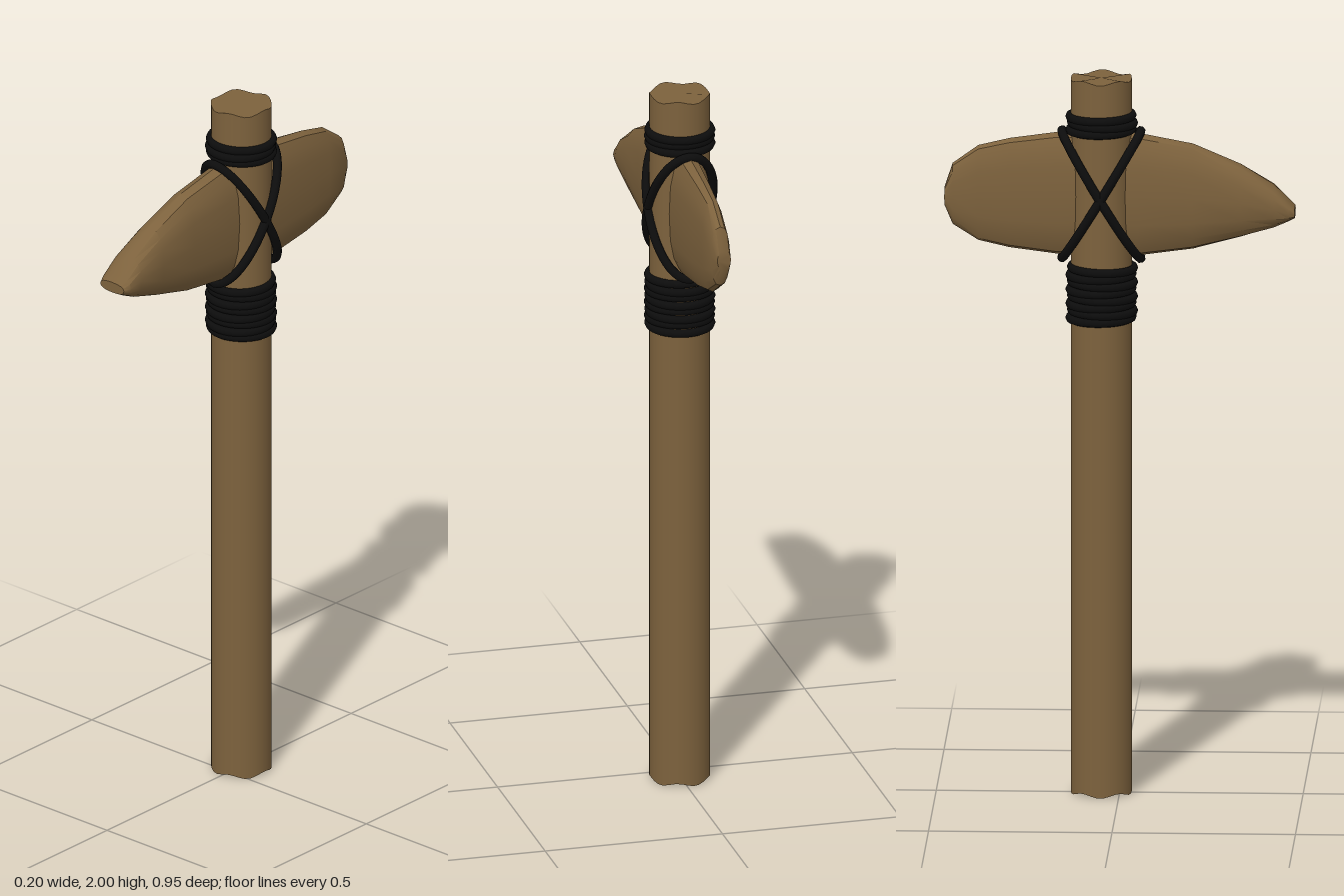
import * as THREE from 'three';
import { toCreasedNormals } from 'three/addons/utils/BufferGeometryUtils.js';

const wood = new THREE.MeshStandardMaterial({ name: 'brown wood', color: 0x7d623d });
const cord = new THREE.MeshStandardMaterial({ name: 'black cord', color: 0x0d0d0d });
const AXIS_Z = -0.05; // centre line of the handle

function add(parent, name, geometry, material) {
  const mesh = new THREE.Mesh(geometry, material);
  mesh.name = name;
  parent.add(mesh);
  return mesh;
}

// Round shaft with slightly uneven cut ends
function handleGeometry() {
  const geo = new THREE.CylinderGeometry(0.083, 0.083, 1.99, 30, 1);
  const p = geo.attributes.position;
  for (let i = 0; i < p.count; i++) {
    const x = p.getX(i), z = p.getZ(i);
    if (Math.hypot(x, z) < 0.01) continue;
    p.setY(i, p.getY(i) + 0.005 * Math.cos(5 * Math.atan2(z, x)));
  }
  return geo.translate(0, 1, AXIS_Z);
}

// Loft of rounded sections running from the thin blade to the chisel tip
function headGeometry() {
  // z, bottom y, top y, left x, right x
  const sections = [
    [-0.477, 1.64, 1.69, -0.03, 0.008],
    [-0.455, 1.585, 1.755, -0.032, 0.02],
    [-0.385, 1.54, 1.805, -0.035, 0.028],
    [-0.3, 1.52, 1.825, -0.039, 0.036],
    [-0.17, 1.503, 1.843, -0.047, 0.046],
    [0.05, 1.5, 1.842, -0.05, 0.053],
    [0.2, 1.52, 1.813, -0.046, 0.053],
    [0.33, 1.555, 1.758, -0.051, 0.056],
    [0.42, 1.583, 1.702, -0.052, 0.055],
    [0.46, 1.602, 1.66, -0.05, 0.051],
    [0.478, 1.612, 1.642, -0.044, 0.042],
  ];
  const n = 16, pos = [], index = [];
  const round = (v) => Math.sign(v) * Math.abs(v) ** 0.8;
  for (const [z, y0, y1, x0, x1] of sections) {
    for (let j = 0; j < n; j++) {
      const a = (j / n) * Math.PI * 2;
      pos.push((x0 + x1) / 2 + round(Math.cos(a)) * (x1 - x0) / 2,
        (y0 + y1) / 2 + round(Math.sin(a)) * (y1 - y0) / 2, z);
    }
  }
  const last = (sections.length - 1) * n;
  for (let i = 0; i < last; i += n) {
    for (let j = 0; j < n; j++) {
      const k = (j + 1) % n;
      index.push(i + j, i + k, i + n + k, i + j, i + n + k, i + n + j);
    }
  }
  // End caps
  for (let j = 1; j < n - 1; j++) {
    index.push(0, j + 1, j, last, last + j, last + j + 1);
  }
  const geo = new THREE.BufferGeometry();
  geo.setAttribute('position', new THREE.Float32BufferAttribute(pos, 3));
  geo.setIndex(index);
  return toCreasedNormals(geo, 0.6);
}

// Stack of cord turns around the handle
function wrap(parent, name, yLow, yHigh, turns) {
  const group = new THREE.Group();
  group.name = name;
  for (let i = 0; i < turns; i++) {
    const y = THREE.MathUtils.lerp(yLow, yHigh, i / (turns - 1));
    const turn = add(group, 'cordTurn', new THREE.TorusGeometry(0.085, 0.012, 8, 36), cord);
    turn.rotation.x = Math.PI / 2 + (i % 2 ? 0.02 : -0.02);
    turn.position.set(0, y, AXIS_Z + (i % 2 ? 0.003 : -0.001));
  }
  parent.add(group);
}

// Slanted loop that passes over the head on one side and under it on the other
function crossLoop(parent, name, side) {
  const points = [];
  for (let i = 0; i < 24; i++) {
    const a = (i / 24) * Math.PI * 2;
    points.push(new THREE.Vector3(0.09 * Math.cos(a), 1.67 + 0.178 * Math.sin(a),
      AXIS_Z + side * 0.108 * Math.sin(a)));
  }
  const curve = new THREE.CatmullRomCurve3(points, true);
  add(parent, name, new THREE.TubeGeometry(curve, 60, 0.0125, 8, true), cord);
}

export function createModel() {
  const model = new THREE.Group();
  model.name = 'hafted stone axe';
  add(model, 'handle', handleGeometry(), wood);
  add(model, 'head', headGeometry(), wood);
  wrap(model, 'lowerBinding', 1.328, 1.467, 8);
  wrap(model, 'upperBinding', 1.853, 1.89, 3);
  crossLoop(model, 'crossLashingFront', 1);
  crossLoop(model, 'crossLashingBack', -1);
  return model;
}
